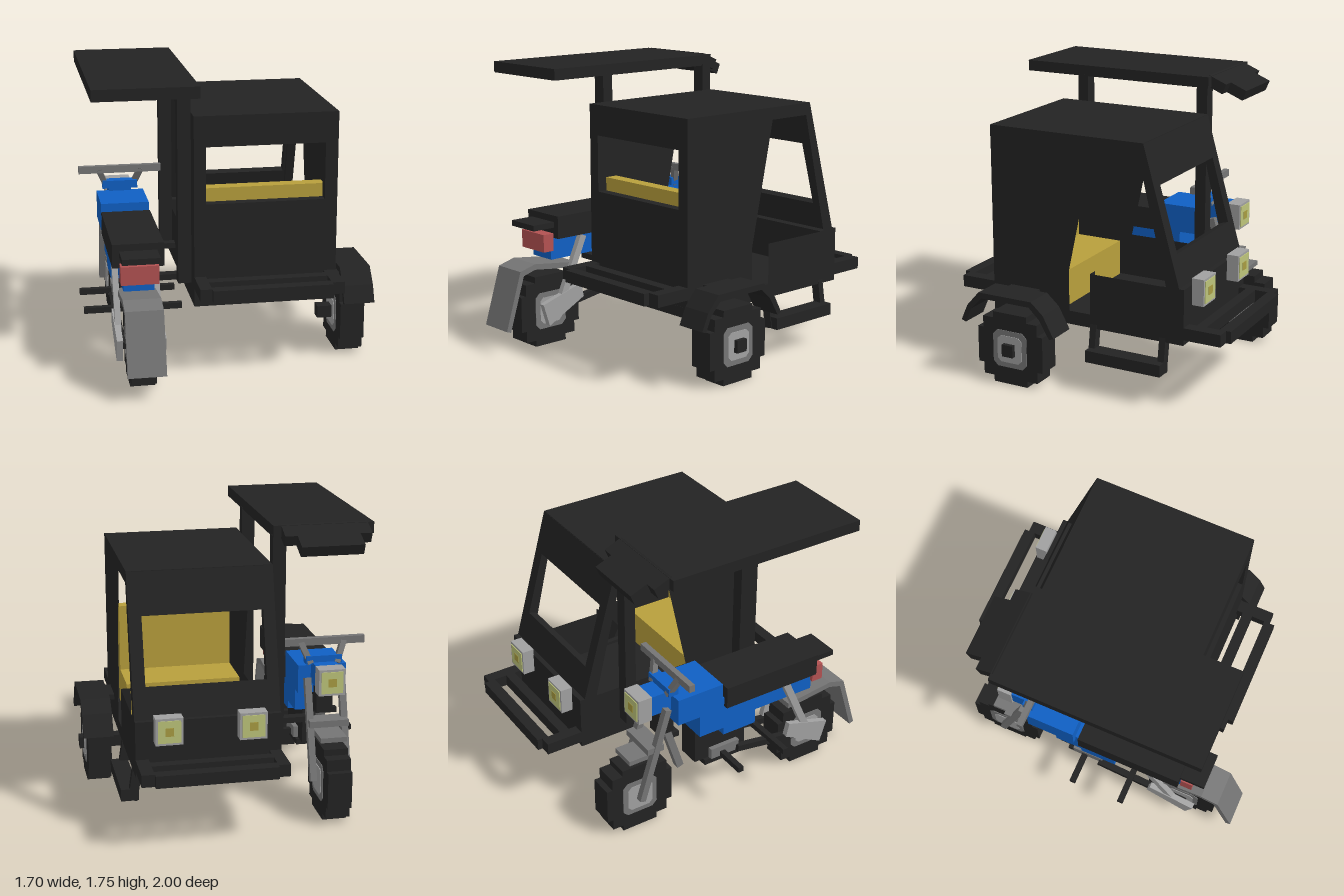
import * as THREE from 'three';

const mat = (name, color) => {
  const m = new THREE.MeshStandardMaterial({ color });
  m.name = name;
  return m;
};

export function createModel() {
  const root = new THREE.Group();
  const black = mat('black', 0x232323), grey = mat('grey', 0x757575), silver = mat('silver', 0xa0a0a0);
  const blue = mat('blue', 0x1060c4), gold = mat('gold', 0xb89f3c), red = mat('red', 0xb35252);
  const lens = mat('lens', 0xbdc47a), bulb = mat('bulb', 0xa89c42);

  const add = (name, geo, m, parent = root) => {
    const mesh = new THREE.Mesh(geo, m);
    mesh.name = name;
    parent.add(mesh);
    return mesh;
  };
  // box given by its extents on each axis
  const box = (name, m, [x0, x1], [y0, y1], [z0, z1], parent) =>
    add(name, new THREE.BoxGeometry(x1 - x0, y1 - y0, z1 - z0), m, parent)
      .position.set((x0 + x1) / 2, (y0 + y1) / 2, (z0 + z1) / 2);
  // square bar between two points
  const bar = (name, m, a, b, w = 0.04, d = w) => {
    const p = new THREE.Vector3(...a), q = new THREE.Vector3(...b);
    const mesh = add(name, new THREE.BoxGeometry(w, p.distanceTo(q), d), m);
    mesh.position.copy(p).lerp(q, 0.5);
    mesh.quaternion.setFromUnitVectors(new THREE.Vector3(0, 1, 0), q.sub(p).normalize());
    return mesh;
  };
  // plate with a [z, y] outline, running from x0 to x1
  const side = (name, m, pts, x0, x1, hole, parent) => {
    const toV = ([z, y]) => new THREE.Vector2(-z, y);
    const s = new THREE.Shape(pts.map(toV));
    if (hole) s.holes.push(new THREE.Path(hole.map(toV)));
    const mesh = add(name, new THREE.ExtrudeGeometry(s, { depth: x1 - x0, bevelEnabled: false }), m, parent);
    mesh.rotation.y = Math.PI / 2;
    mesh.position.x = x0;
    return mesh;
  };
  // upright wall in x and y with a rectangular window
  const windowWall = (name, [x0, x1], [y0, y1], [hx0, hx1], [hy0, hy1], depth) => {
    const rect = (a, b, c, d) => [[a, c], [b, c], [b, d], [a, d]].map(p => new THREE.Vector2(...p));
    const s = new THREE.Shape(rect(x0, x1, y0, y1));
    s.holes.push(new THREE.Path(rect(hx0, hx1, hy0, hy1)));
    return add(name, new THREE.ExtrudeGeometry(s, { depth, bevelEnabled: false }), black);
  };

  // stepped block wheels
  const wheel = (name, x, z) => {
    const g = new THREE.Group();
    g.name = name;
    g.position.set(x, 0.223, z);
    root.add(g);
    const q = [[0.222, 0.112], [0.185, 0.112], [0.185, 0.183], [0.115, 0.183], [0.115, 0.222]];
    const mir = (a, b) => q.map(([u, v]) => [u * a, v * b]);
    const outline = [...mir(1, 1), ...mir(-1, 1).reverse(), ...mir(-1, -1), ...mir(1, -1).reverse()];
    side('tyre', black, outline, -0.073, 0.073, null, g);
    const chamfer = (r, c) => [[r, c], [c, r], [-c, r], [-r, c], [-r, -c], [-c, -r], [c, -r], [r, -c]];
    side('rim', grey, chamfer(0.115, 0.085), -0.077, 0.077, null, g);
    side('hubPlate', silver, chamfer(0.083, 0.06), -0.081, 0.081, null, g);
    return g;
  };
  const BX = -0.56;
  wheel('frontWheel', BX, -0.59);
  wheel('rearWheel', BX, 0.64);
  const sideWheel = wheel('sidecarWheel', 0.742, 0.3);
  box('hub', black, [-0.17, 0.108], [-0.037, 0.037], [-0.037, 0.037], sideWheel);

  // sidecar cabin walls
  const X0 = -0.22, X1 = 0.63;
  const wall = [[0.52, 0.38], [0.52, 1.52], [-0.48, 1.52], [-0.71, 0.71], [-0.74, 0.71], [-0.74, 0.38]];
  const opening = [[-0.16, 1.45], [-0.45, 1.45], [-0.63, 0.71], [0, 0.71]];
  const doorway = [[-0.16, 1.45], [-0.45, 1.45], [-0.63, 0.71], [-0.14, 0.71], [-0.14, 0.46], [0, 0.46], [0, 0.71]];
  side('innerSideWall', black, wall, X0, X0 + 0.06, opening);
  side('outerSideWall', black, wall, X1 - 0.06, X1, doorway);
  windowWall('rearWall', [X0, X1], [0.38, 1.52], [-0.15, 0.555], [1.0, 1.34], 0.06).position.z = 0.461;
  const shield = windowWall('windshieldFrame', [X0, X1], [0, 0.842], [-0.15, 0.555], [0.187, 0.59], 0.05);
  shield.position.set(0, 0.71, -0.712);
  shield.rotation.x = Math.atan2(0.23, 0.81);
  box('cabinRoof', black, [X0, X1], [1.455, 1.523], [-0.48, 0.522]);
  box('cabinFloor', black, [X0, X1], [0.378, 0.44], [-0.74, 0.522]);
  box('nosePanel', black, [X0, X1], [0.38, 0.712], [-0.742, -0.69]);
  box('dashboard', black, [X0, X1], [0.66, 0.712], [-0.742, -0.6]);

  // cabin bench
  box('benchCushion', gold, [-0.15, 0.565], [0.44, 0.66], [0.08, 0.46]);
  box('benchBack', gold, [-0.15, 0.565], [0.66, 1.08], [0.38, 0.459]);

  // slatted racks at both ends
  const rack = (name, y, ends, slats) => {
    for (const x of [[X0, -0.15], [0.555, X1]]) box(name + 'Rail', black, x, y, ends);
    for (const z of slats) box(name + 'Slat', black, [-0.15, 0.555], y, z);
  };
  rack('frontRack', [0.412, 0.485], [-0.97, -0.74], [[-1, -0.93], [-0.85, -0.79]]);
  rack('rearRack', [0.488, 0.56], [0.52, 0.745], [[0.56, 0.625], [0.71, 0.78]]);

  // headlights: housing, lens and bulb
  const headlight = (x, y, zFront, depth) => {
    box('headlightHousing', silver, [x - 0.08, x + 0.08], [y - 0.08, y + 0.08], [zFront, zFront + depth]);
    box('headlightLens', lens, [x - 0.066, x + 0.066], [y - 0.066, y + 0.066], [zFront - 0.005, zFront]);
    box('headlightBulb', bulb, [x - 0.025, x + 0.025], [y - 0.025, y + 0.025], [zFront - 0.008, zFront - 0.004]);
  };
  headlight(-0.04, 0.67, -0.815, 0.075);
  headlight(0.445, 0.67, -0.815, 0.075);
  headlight(BX, 0.82, -0.595, 0.09);

  // side step and sidecar fender
  box('sideStep', black, [0.6, 0.703], [0.19, 0.262], [-0.63, -0.145]);
  for (const z of [-0.16, -0.61]) bar('stepLeg', black, [0.595, 0.45, z], [0.635, 0.19, z], 0.055, 0.04);
  side('sidecarFender', black, [[0.615, 0.37], [0.57, 0.47], [0.49, 0.56], [0.13, 0.56], [0.05, 0.49], [-0.02, 0.36],
    [0.01, 0.35], [0.075, 0.46], [0.145, 0.525], [0.47, 0.525], [0.545, 0.45], [0.585, 0.36]], 0.665, 0.85);
  box('fenderBracket', black, [0.62, 0.68], [0.525, 0.558], [0.2, 0.4]);

  // canopy above the motorcycle, with a stepped drooping visor
  for (const z of [0.38, -0.44]) box('canopyPost', black, [-0.3, -0.221], [0.49, 1.69], [z - 0.035, z + 0.035]);
  box('canopy', black, [-0.82, -0.222], [1.68, 1.747], [-0.48, 0.78]);
  const visor = new THREE.Group();
  visor.name = 'visor';
  visor.position.set(-0.525, 1.747, -0.475);
  visor.rotation.x = -0.4;
  root.add(visor);
  box('visorWide', black, [-0.257, 0.257], [-0.066, 0], [-0.11, 0.01], visor);
  box('visorNarrow', black, [-0.185, 0.185], [-0.066, 0], [-0.22, -0.11], visor);

  // motorcycle seat, tank and bodywork
  box('bikeSeat', black, [-0.71, -0.41], [0.68, 0.82], [-0.03, 0.63]);
  box('tailRack', black, [-0.67, -0.45], [0.745, 0.78], [0.62, 0.785]);
  box('tailLight', red, [-0.67, -0.45], [0.6, 0.71], [0.635, 0.71]);
  box('tank', blue, [-0.708, -0.412], [0.69, 0.863], [-0.37, -0.062]);
  box('tankBase', blue, [-0.68, -0.44], [0.52, 0.74], [-0.2, -0.03]);
  box('sideCover', blue, [-0.68, -0.44], [0.47, 0.68], [-0.03, 0.2]);
  box('tailBody', blue, [-0.65, -0.47], [0.54, 0.69], [0.2, 0.64]);
  box('cowl', blue, [-0.67, -0.45], [0.88, 0.93], [-0.41, -0.345]);
  box('cowlNeck', blue, [-0.63, -0.49], [0.76, 0.89], [-0.505, -0.35]);
  box('steeringHead', black, [-0.61, -0.51], [0.58, 0.78], [-0.44, -0.34]);

  // engine and frame
  box('engine', black, [-0.63, -0.49], [0.3, 0.54], [-0.2, 0.16]);
  box('engineCase', grey, [-0.66, -0.46], [0.3, 0.37], [-0.1, 0.1]);
  box('lowerFrame', black, [-0.65, -0.47], [0.265, 0.3], [-0.14, 0.12]);
  for (const z of [-0.02, 0.31]) box('footPegs', black, [-0.855, -0.265], [0.3, 0.335], [z - 0.018, z + 0.018]);
  for (const z of [-0.3, 0.3]) box('sidecarLink', black, [-0.56, -0.2], [0.485, 0.52], [z - 0.03, z + 0.03]);
  bar('downTube', grey, [BX, 0.68, -0.4], [BX, 0.27, -0.27], 0.045);

  // paired parts on each side of the motorcycle
  for (const s of [-1, 1]) {
    const x = BX + s * 0.105;
    bar('fork', grey, [x, 0.8, -0.42], [x, 0.21, -0.6], 0.04);
    bar('handlebarRiser', grey, [BX + s * 0.08, 0.88, -0.4], [BX + s * 0.135, 1.01, -0.35], 0.035);
    bar('shockAbsorber', silver, [BX + s * 0.12, 0.67, 0.42], [BX + s * 0.12, 0.27, 0.6], 0.035, 0.045);
    bar('swingArm', black, [x, 0.32, 0.08], [x, 0.223, 0.68], 0.04);
    side('muffler', silver, [[0.745, 0.28], [0.45, 0.37], [0.43, 0.28], [0.7, 0.14]], BX + s * 0.125 - 0.018, BX + s * 0.125 + 0.018);
  }
  box('handlebar', grey, [-0.82, -0.3], [0.985, 1.03], [-0.37, -0.335]);
  box('forkBridge', grey, [-0.68, -0.44], [0.53, 0.57], [-0.56, -0.45]);

  // mudguards
  side('rearMudguard', grey, [[0.46, 0.5], [0.78, 0.54], [0.89, 0.51], [1.0, 0.155], [0.97, 0.145], [0.865, 0.48],
    [0.78, 0.505], [0.46, 0.465]], -0.67, -0.45);
  side('frontMudguard', grey, [[-0.46, 0.5], [-0.66, 0.5], [-0.66, 0.47], [-0.46, 0.47]], -0.64, -0.48);
  return root;
}
